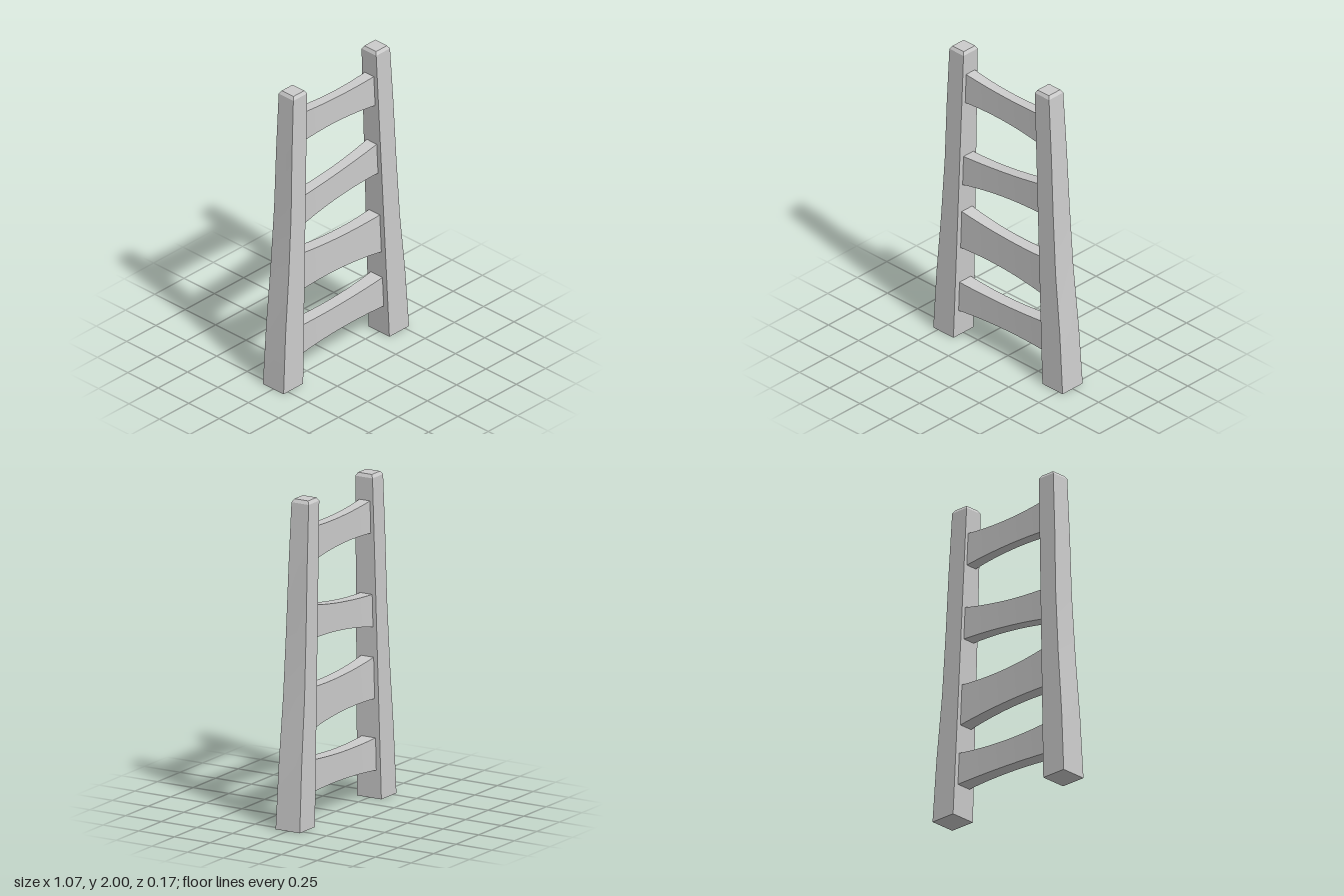
import * as THREE from 'three';
import { toCreasedNormals } from 'three/addons/utils/BufferGeometryUtils.js';

const material = new THREE.MeshStandardMaterial({ color: 0xcccccc });

// Closed solid through four-cornered rings (corners run counter-clockwise seen from the far end).
function loft(name, rings) {
  const index = [];
  const quad = (a, b, c, d) => index.push(a, b, c, a, c, d);
  for (let r = 0; r < rings.length - 1; r++) {
    for (let i = 0; i < 4; i++) {
      const a = r * 4 + i, b = r * 4 + (i + 1) % 4;
      quad(a, b, b + 4, a + 4);
    }
  }
  const e = (rings.length - 1) * 4;
  quad(3, 2, 1, 0);
  quad(e, e + 1, e + 2, e + 3);
  const geometry = new THREE.BufferGeometry();
  geometry.setAttribute('position', new THREE.Float32BufferAttribute(rings.flat(2), 3));
  geometry.setIndex(index);
  const mesh = new THREE.Mesh(toCreasedNormals(geometry, 0.4), material);
  mesh.name = name;
  return mesh;
}

// Everything gets thinner front to back towards the top.
const taper = (y) => 1 - 0.147 * y;

// Upright post: straight inner edge, bowed outer edge, chamfered top.
function post(name, side, levels, outer, innerAt) {
  const ring = (y, inset) => {
    let k = 0;
    while (k < levels.length - 2 && y > levels[k + 1]) k++;
    const t = (y - levels[k]) / (levels[k + 1] - levels[k]);
    const out = side * (THREE.MathUtils.lerp(outer[k], outer[k + 1], t) - inset);
    const inn = side * (innerAt(y) + inset);
    const x0 = Math.min(out, inn), x1 = Math.max(out, inn);
    const z = 0.085 * taper(y) - inset;
    return [[x0, y, z], [x1, y, z], [x1, y, -z], [x0, y, -z]];
  };
  const rings = levels.map((y) => ring(y, 0));
  rings.push(ring(2, 0.012));
  return loft(name, rings);
}

const innerRight = (y) => 0.37 - 0.03 * y;
const innerLeft = (y) => 0.367 - 0.044 * y;

// Rung: edges are parabolas through heights at the right end, middle and left end; waisted in depth.
function rung(name, top, bottom) {
  const height = ([a, m, b], u) => m + (b - a) / 2 * u + ((a + b) / 2 - m) * u * u;
  const rings = [];
  const steps = 12;
  for (let i = 0; i <= steps; i++) {
    const u = -1 + 2 * i / steps;
    const corner = (edge, s) => {
      const y = height(edge, u);
      const x = THREE.MathUtils.lerp(-innerRight(y) - 0.015, innerLeft(y) + 0.015, (u + 1) / 2);
      return [x, y, s * (0.0435 + 0.008 * u * u) * taper(y) - 0.003];
    };
    rings.push([corner(bottom, 1), corner(bottom, -1), corner(top, -1), corner(top, 1)]);
  }
  return loft(name, rings);
}

export function createModel() {
  const group = new THREE.Group();
  group.name = 'ladder';
  const levels = [0, 0.4, 0.8, 1.2, 1.6, 1.98];
  group.add(
    post('rightPost', -1, levels, [0.537, 0.515, 0.482, 0.457, 0.445, 0.428], innerRight),
    post('leftPost', 1, levels, [0.535, 0.507, 0.467, 0.442, 0.422, 0.398], innerLeft),
  );
  // Top and bottom edge heights, from the lowest rung up.
  const rungs = [
    [[0.376, 0.371, 0.404], [0.174, 0.201, 0.2]],
    [[0.875, 0.838, 0.845], [0.617, 0.62, 0.582]],
    [[1.26, 1.288, 1.347], [1.058, 1.117, 1.14]],
    [[1.84, 1.814, 1.823], [1.638, 1.645, 1.615]],
  ];
  rungs.forEach(([top, bottom], i) => group.add(rung(`rung${i + 1}`, top, bottom)));
  return group;
}
